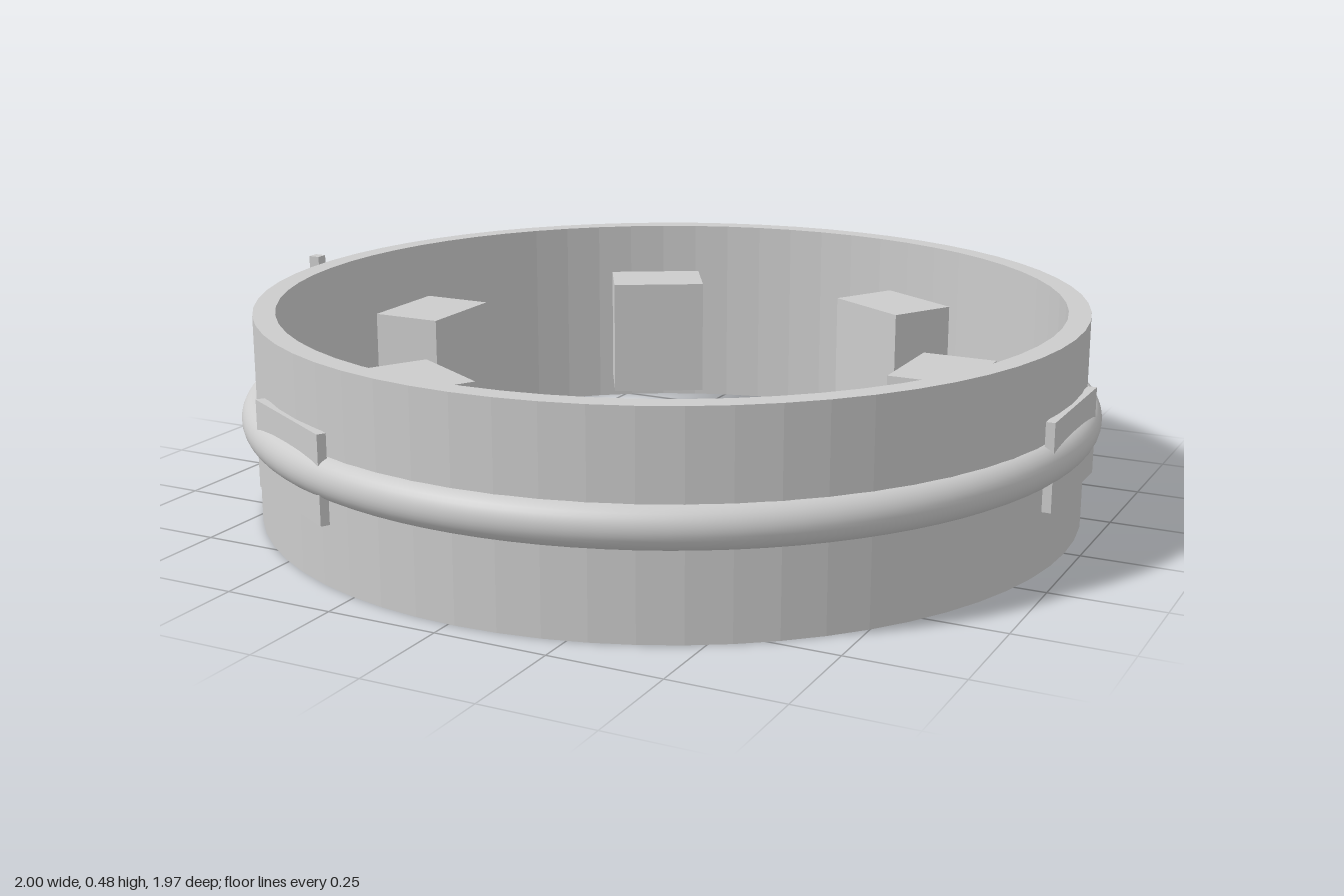
import * as THREE from 'three';

const CX = 0.015;      // ring axis, shifted by the pin on one side
const H = 0.475;       // wall height
const MID = H / 2;

export function createModel() {
  const model = new THREE.Group();
  const grey = new THREE.MeshStandardMaterial({ color: 0xcccccc });
  grey.name = 'light grey';

  const add = (name, geometry, parent = model) => {
    const mesh = new THREE.Mesh(geometry, grey);
    mesh.name = name;
    parent.add(mesh);
    return mesh;
  };

  const ring = new THREE.Group();
  ring.name = 'ring';
  ring.position.x = CX;
  model.add(ring);

  // Faceted hollow wall
  const profile = [[0.9, H], [0.9, 0], [0.95, 0], [0.95, H], [0.9, H]]
    .map(([r, y]) => new THREE.Vector2(r, y));
  const wallGeometry = new THREE.LatheGeometry(profile, 64).toNonIndexed();
  wallGeometry.computeVertexNormals();
  add('wall', wallGeometry, ring);

  // Smooth rounded band around the outside
  const arc = [];
  for (let i = 0; i <= 16; i++) {
    const a = (i / 16 - 0.5) * Math.PI;
    arc.push(new THREE.Vector2(0.9375 + 0.0475 * Math.cos(a), MID + 0.0475 * Math.sin(a)));
  }
  add('band', new THREE.LatheGeometry(arc, 96), ring);

  // Boxes placed around the axis, first size is radial
  const placeAround = (name, count, radius, size) => {
    const geometry = new THREE.BoxGeometry(...size);
    for (let i = 0; i < count; i++) {
      const a = (i / count) * Math.PI * 2;
      const box = add(name + (i + 1), geometry, ring);
      box.position.set(radius * Math.cos(a), MID, radius * Math.sin(a));
      box.rotation.y = -a;
    }
  };
  placeAround('innerBlock', 6, 0.66, [0.17, 0.285, 0.23]);
  placeAround('outerPlate', 3, 0.95, [0.02, 0.195, 0.32]);

  // Upright pin on the side of the band
  add('pin', new THREE.BoxGeometry(0.028, 0.245, 0.028)).position.set(-0.986, 0.3585, 0);

  return model;
}
